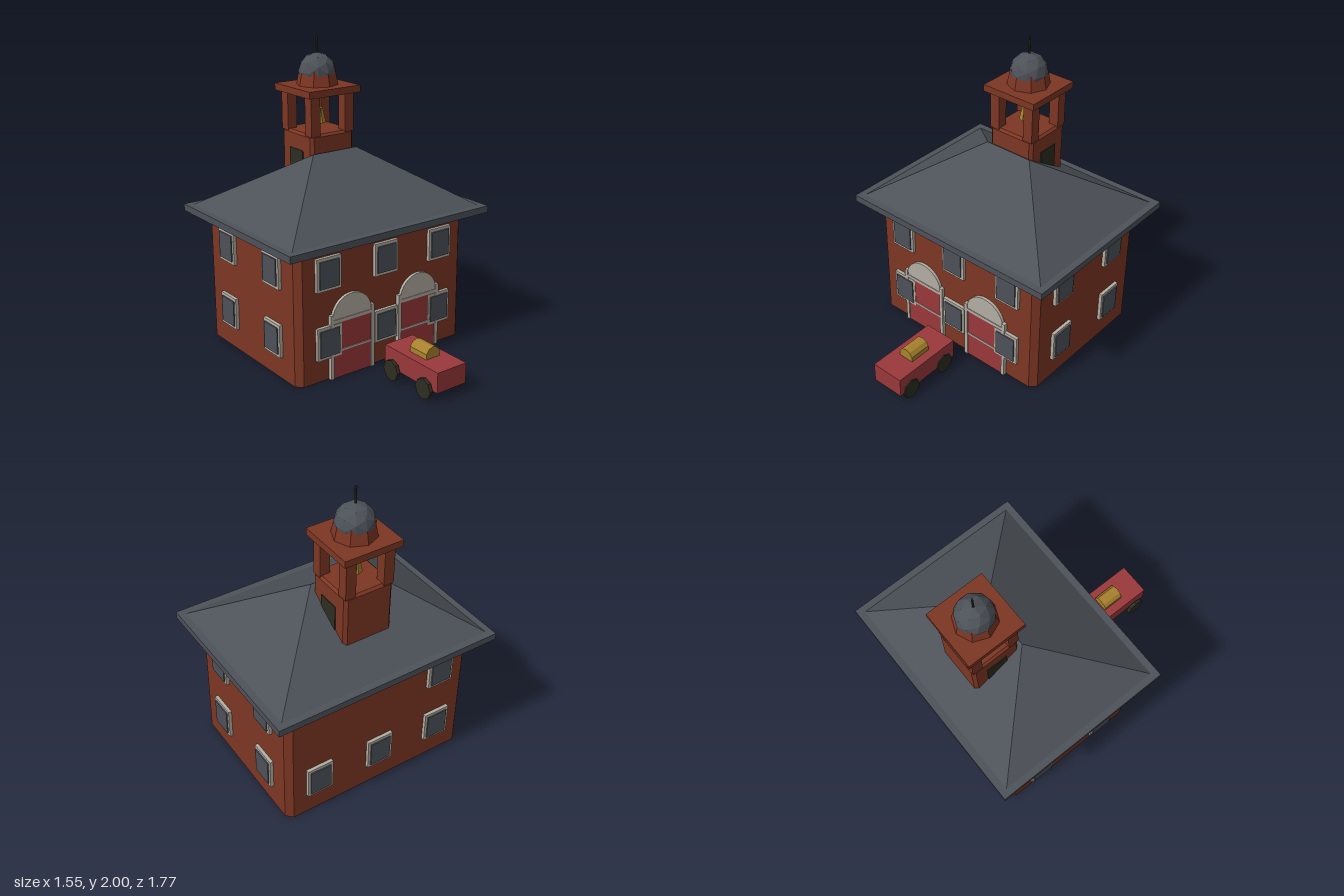
import * as THREE from 'three';

const mat = (name, color, side = THREE.FrontSide) => {
  const m = new THREE.MeshStandardMaterial({ color, flatShading: true, side });
  m.name = name;
  return m;
};

// Triangles from a list of polygons (corners counter-clockwise from outside)
function polygons(list) {
  const pos = [];
  for (const p of list)
    for (let i = 1; i < p.length - 1; i++) pos.push(...p[0], ...p[i], ...p[i + 1]);
  const g = new THREE.BufferGeometry();
  g.setAttribute('position', new THREE.Float32BufferAttribute(pos, 3));
  g.computeVertexNormals();
  return g;
}

// Upright block with chamfered corners and a bevelled top edge
function chamferedBlock(hx, hz, height, c, closedBase) {
  const ring = (y, inset) => {
    const x = hx - inset, z = hz - inset;
    return [[x, z - c], [x, c - z], [x - c, -z], [c - x, -z], [-x, c - z], [-x, z - c], [c - x, z], [x - c, z]]
      .map(([px, pz]) => [px, y, pz]);
  };
  const rings = [ring(0, 0), ring(height - 0.015, 0), ring(height, 0.015)];
  const faces = [rings[2].slice().reverse()].map(f => f.reverse());
  for (let r = 0; r < 2; r++)
    for (let i = 0; i < 8; i++) {
      const j = (i + 1) % 8;
      faces.push([rings[r][i], rings[r][j], rings[r + 1][j], rings[r + 1][i]]);
    }
  if (closedBase) faces.push(rings[0].slice().reverse());
  return polygons(faces);
}

export function createModel() {
  const brick = mat('brick', 0x7d3623, THREE.DoubleSide);
  const slate = mat('slate', 0x4d5259);
  const stone = mat('stone', 0xb4aea3);
  const red = mat('red paint', 0x9a383b);
  const gold = mat('brass', 0xa9822e);
  const dark = mat('dark', 0x2d2d22);

  const model = new THREE.Group();
  const add = (name, geo, m, x = 0, y = 0, z = 0, parent = model) => {
    const mesh = new THREE.Mesh(geo, m);
    mesh.name = name;
    mesh.position.set(x, y, z);
    parent.add(mesh);
    return mesh;
  };
  // Box given by its limits on each axis
  const box = (name, m, x0, x1, y0, y1, z0, z1, parent) =>
    add(name, new THREE.BoxGeometry(x1 - x0, y1 - y0, z1 - z0), m,
      (x0 + x1) / 2, (y0 + y1) / 2, (z0 + z1) / 2, parent);

  // Main walls, open underneath
  const cz = -0.262;
  add('walls', chamferedBlock(0.66, 0.512, 0.87, 0.04, false), brick, 0, 0, cz);

  // Hipped roof on an eaves slab
  box('eaves', slate, -0.775, 0.775, 0.87, 0.915, -0.885, 0.36);
  const y0 = 0.915, y1 = 1.28, rx = 0.73, rz = 0.575, ridge = 0.17;
  const A = [-rx, y0, rz], B = [rx, y0, rz], C = [rx, y0, -rz], D = [-rx, y0, -rz];
  const L = [-ridge, y1, 0], R = [ridge, y1, 0];
  add('roof', polygons([[A, B, R, L], [B, C, R], [C, D, L, R], [D, A, L]]), slate, 0, 0, cz);

  // Windows: a frame set through the wall with a pane on it
  function addWindow(x, y, z, turn) {
    const w = new THREE.Group();
    w.name = 'window';
    box('windowFrame', stone, -0.09, 0.09, -0.107, 0.107, -0.03, 0.022, w);
    box('windowPane', slate, -0.072, 0.072, -0.087, 0.087, 0.022, 0.03, w);
    w.position.set(x, y, z);
    w.rotation.y = turn;
    model.add(w);
  }
  const low = 0.257, high = 0.705;
  for (const x of [-0.44, 0, 0.44]) {
    addWindow(x, low, 0.25, 0);
    addWindow(x, high, 0.25, 0);
    addWindow(x, low, -0.774, Math.PI);
  }
  addWindow(-0.44, high, -0.774, Math.PI);
  for (const s of [-1, 1])
    for (const z of [-0.005, -0.517])
      for (const y of [low, high]) addWindow(s * 0.66, y, z, s * Math.PI / 2);

  // Two vehicle doors with stone surrounds and arches
  for (const s of [-1, 1]) {
    const door = new THREE.Group();
    door.name = 'vehicleDoor';
    door.position.x = s * 0.266;
    box('doorSurround', stone, -0.165, 0.165, 0, 0.42, 0.21, 0.262, door);
    box('doorPanel', red, -0.145, 0.145, 0, 0.37, 0.262, 0.269, door);
    box('doorRail', stone, -0.145, 0.145, 0.175, 0.188, 0.266, 0.274, door);
    box('doorLintel', stone, -0.145, 0.145, 0.37, 0.392, 0.255, 0.274, door);
    for (const t of [-1, 1])
      box('doorPost', stone, t * 0.156 - 0.012, t * 0.156 + 0.012, 0, 0.427, 0.21, 0.276, door);
    const arch = new THREE.Shape();
    arch.absarc(0, 0, 0.15, 0, Math.PI, false);
    add('doorArch', new THREE.ExtrudeGeometry(arch, { depth: 0.06, bevelEnabled: false, curveSegments: 20 }),
      stone, 0, 0.39, 0.21, door);
    model.add(door);
  }

  // Bell tower, running down to the ground inside the walls
  const tower = new THREE.Group();
  tower.name = 'bellTower';
  tower.position.z = -0.452;
  model.add(tower);
  add('towerShaft', chamferedBlock(0.168, 0.168, 1.395, 0.02, true), brick, 0, 0, 0, tower);
  for (const s of [-1, 1])
    add('towerOpening', new THREE.BoxGeometry(0.009, 0.28, 0.145), dark, s * 0.169, 1.14, 0, tower);
  for (const x of [-1, 1])
    for (const z of [-1, 1])
      add('towerPost', new THREE.BoxGeometry(0.07, 0.26, 0.07), brick, x * 0.132, 1.515, z * 0.132, tower);
  box('towerCap', brick, -0.198, 0.198, 1.64, 1.685, -0.198, 0.198, tower);
  add('cupolaDrum', new THREE.CylinderGeometry(0.117, 0.137, 0.1, 8), brick, 0, 1.735, 0, tower);
  add('dome', new THREE.IcosahedronGeometry(0.122, 1), slate, 0, 1.77, 0, tower);
  add('spire', new THREE.CylinderGeometry(0.007, 0.007, 0.13, 6), dark, 0, 1.935, 0, tower);
  add('bell', new THREE.CylinderGeometry(0.034, 0.054, 0.095, 8), gold, 0, 1.482, 0, tower);

  // Small truck parked in front
  const truck = new THREE.Group();
  truck.name = 'truck';
  model.add(truck);
  box('truckBody', red, -0.113, 0.113, 0.065, 0.198, 0.4, 0.89, truck);
  add('hoseReel', new THREE.CylinderGeometry(0.056, 0.056, 0.15, 10), gold, 0, 0.215, 0.645, truck)
    .rotation.x = Math.PI / 2;
  for (const x of [-0.134, 0.11])
    for (const z of [0.495, 0.795])
      add('wheel', new THREE.CylinderGeometry(0.067, 0.067, 0.024, 8), dark, x, 0.067, z, truck)
        .rotation.z = Math.PI / 2;

  return model;
}
